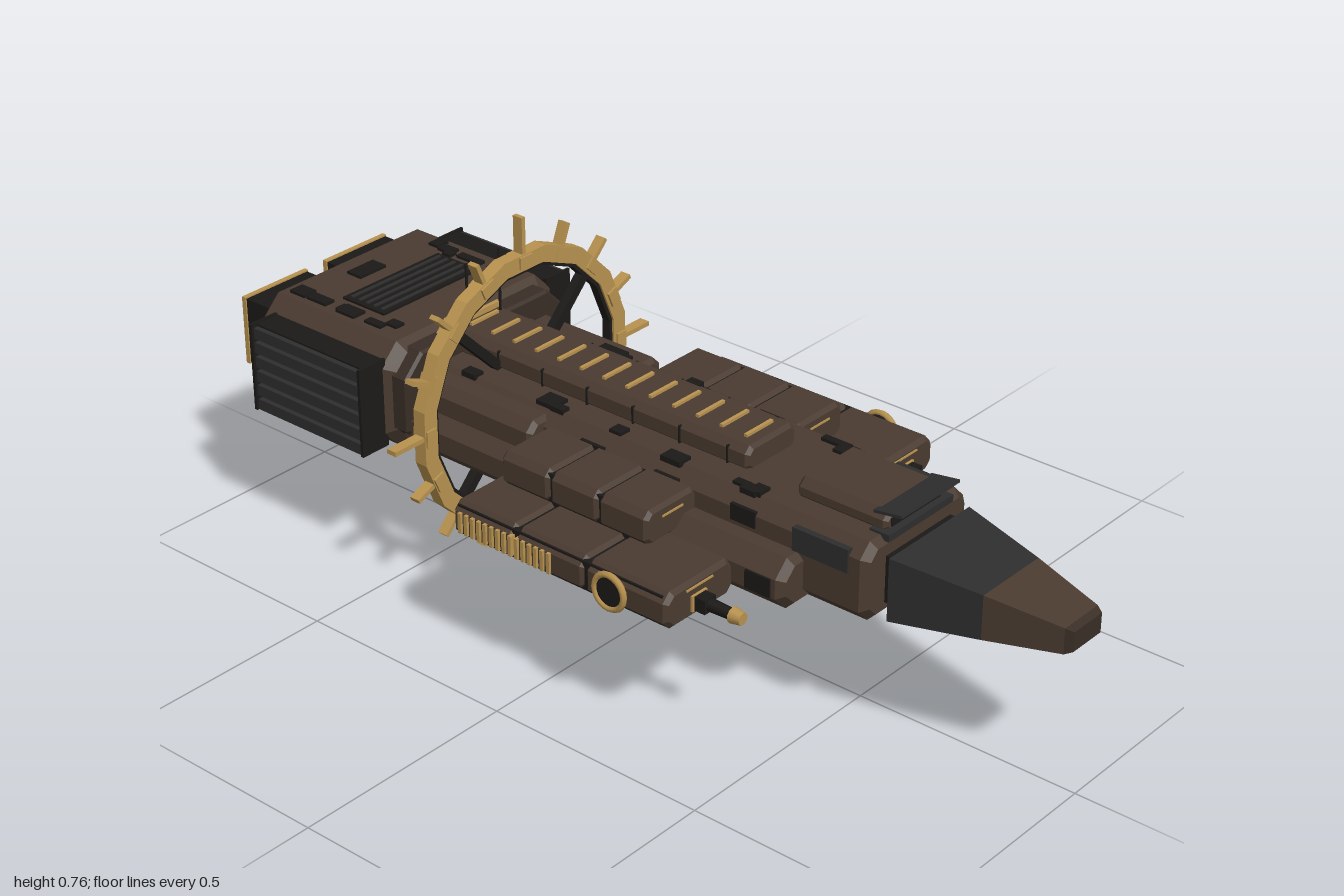
import * as THREE from 'three';

const mat = (color, side = THREE.FrontSide) => new THREE.MeshStandardMaterial({ color, side });
const BROWN = mat(0x4a3b30), SHADE = mat(0x3a2e26), DARK = mat(0x1c1a18), STEEL = mat(0x2e2e2e), GOLD = mat(0xb8924f);

export function createModel() {
  const root = new THREE.Group();
  const add = (name, geo, m, x = 0, y = 0, z = 0, parent = root) => {
    const mesh = new THREE.Mesh(geo, m);
    mesh.name = name;
    mesh.position.set(x, y, z);
    parent.add(mesh);
    return mesh;
  };
  // box given by its limits on each axis
  const box = (name, m, [x0, x1], [y0, y1], [z0, z1], parent = root) =>
    add(name, new THREE.BoxGeometry(x1 - x0, y1 - y0, z1 - z0), m, (x0 + x1) / 2, (y0 + y1) / 2, (z0 + z1) / 2, parent);
  // armoured block: octagonal section along z, ends bevelled by b, corners cut by c
  const block = (name, m, [x0, x1], [y0, y1], [z0, z1], c, b, parent = root) => {
    const w = (x1 - x0) / 2 - b, h = (y1 - y0) / 2 - b;
    const s = new THREE.Shape([[w, -h + c], [w, h - c], [w - c, h], [-w + c, h], [-w, h - c], [-w, -h + c], [-w + c, -h], [w - c, -h]]
      .map(p => new THREE.Vector2(...p)));
    const g = new THREE.ExtrudeGeometry(s, { depth: z1 - z0 - 2 * b, bevelSize: b, bevelThickness: b, bevelSegments: 1 });
    g.translate(0, 0, b);
    return add(name, g, m, (x0 + x1) / 2, (y0 + y1) / 2, z0, parent);
  };
  // tapered box from a back rectangle to a front one, each [halfWidth, bottom, top, z]
  const taper = (name, m, back, front) => {
    const g = new THREE.BoxGeometry(2, 1, 1), p = g.attributes.position;
    for (let i = 0; i < p.count; i++) {
      const [w, lo, hi, z] = p.getZ(i) > 0 ? front : back;
      p.setXYZ(i, p.getX(i) * w, p.getY(i) > 0 ? hi : lo, z);
    }
    g.computeVertexNormals();
    return add(name, g, m);
  };
  let seed = 7;
  const rand = () => (seed = (seed * 16807) % 2147483647) / 2147483647;

  // main hull
  block('upperHull', BROWN, [-0.16, 0.16], [0.28, 0.45], [-0.52, 0.62], 0.02, 0.015);
  block('lowerHull', BROWN, [-0.225, 0.225], [0.275, 0.385], [-0.52, 0.475], 0.025, 0.015);
  block('shoulderDeck', BROWN, [-0.2, 0.2], [0.36, 0.44], [-0.52, -0.18], 0.015, 0.01);
  box('keelPlate', SHADE, [-0.13, 0.13], [0.27, 0.28], [-0.5, 0.42]);

  // nose
  box('neck', DARK, [-0.1, 0.1], [0.31, 0.41], [0.6, 0.66]);
  taper('noseBase', STEEL, [0.125, 0.29, 0.425, 0.645], [0.087, 0.308, 0.403, 0.83]);
  taper('noseTip', BROWN, [0.087, 0.308, 0.403, 0.83], [0.052, 0.325, 0.38, 0.985]);
  taper('noseCap', SHADE, [0.052, 0.325, 0.38, 0.985], [0.044, 0.332, 0.374, 1]);
  for (const s of [-1, 1]) add('noseLamp', new THREE.BoxGeometry(0.008, 0.008, 0.006), GOLD, s * 0.048, 0.355, 0.982);

  // bridge
  block('bridge', BROWN, [-0.09, 0.09], [0.44, 0.49], [0.4, 0.61], 0.012, 0.008);
  box('bridgeWindow', DARK, [-0.075, 0.075], [0.458, 0.475], [0.6, 0.613]);
  const visor = box('visor', STEEL, [-0.09, 0.09], [0.488, 0.494], [0.58, 0.645]);
  visor.rotation.x = -0.15;
  box('foredeckPlate', STEEL, [-0.1, 0.1], [0.44, 0.455], [0.58, 0.625]);

  // spine with gold rungs
  block('spine', BROWN, [-0.075, 0.075], [0.44, 0.497], [-0.52, 0.27], 0.01, 0.008);
  for (let i = 0; i < 13; i++) {
    const z = -0.49 + i * 0.0605;
    box('spineRung', GOLD, [-0.04, 0.04], [0.49, 0.503], [z - 0.004, z + 0.004]);
  }
  for (let i = 0; i < 6; i++) {
    const z = -0.38 + i * 0.12;
    box('spineSeam', DARK, [-0.077, 0.077], [0.445, 0.488], [z - 0.002, z + 0.002]);
  }
  box('spineEndBar', GOLD, [-0.065, 0.065], [0.498, 0.51], [-0.515, -0.505]);

  // stern block
  block('sternCollar', SHADE, [-0.235, 0.235], [0.28, 0.495], [-0.54, -0.485], 0.045, 0.006);
  block('sternBlock', BROWN, [-0.25, 0.25], [0.268, 0.508], [-0.915, -0.51], 0.028, 0.03);
  box('sternHatch', DARK, [-0.14, 0.14], [0.5, 0.513], [-0.76, -0.64]);
  for (let i = 0; i < 5; i++) box('hatchSlat', STEEL, [-0.13, 0.13], [0.51, 0.516], [-0.747 + i * 0.022, -0.74 + i * 0.022]);

  // mirrored assemblies, built on the left and flipped by sign
  for (const s of [1, -1]) {
    const side = new THREE.Group();
    side.name = s > 0 ? 'leftSide' : 'rightSide';
    root.add(side);
    const X = (a, b) => s > 0 ? [a, b] : [-b, -a];

    // main engine
    box('engineHousing', DARK, X(0.03, 0.205), [0.31, 0.46], [-0.99, -0.89], side);
    box('engineRim', GOLD, X(0.027, 0.208), [0.307, 0.463], [-0.998, -0.987], side);
    box('engineGlow', GOLD, X(0.04, 0.195), [0.32, 0.45], [-1, -0.99], side);

    // finned radiator
    box('radiatorCore', DARK, X(0.24, 0.298), [0.29, 0.48], [-0.855, -0.54], side);
    for (let i = 0; i < 6; i++) {
      const y = 0.287 + i * 0.033;
      box('radiatorFin', STEEL, X(0.245, 0.31), [y, y + 0.024], [-0.85, -0.545], side);
    }
    for (const z of [-0.86, -0.545]) box('radiatorFrame', DARK, X(0.24, 0.313), [0.285, 0.483], [z, z + 0.007], side);

    // outer cargo pods
    [[-0.19, -0.03], [-0.026, 0.15], [0.154, 0.355]].forEach(z =>
      block('outerPod', BROWN, X(0.215, 0.412), [0.28, 0.36], z, 0.014, 0.009, side));
    box('outerPodCore', DARK, X(0.2, 0.405), [0.29, 0.352], [-0.18, 0.34], side);
    // inner upper pods
    [[-0.165, -0.04], [-0.036, 0.085], [0.089, 0.21]].forEach(z =>
      block('upperPod', BROWN, X(0.15, 0.3), [0.355, 0.43], z, 0.01, 0.008, side));
    box('upperPodCore', DARK, X(0.15, 0.292), [0.35, 0.422], [-0.155, 0.2], side);
    box('upperPodTrim', GOLD, X(0.195, 0.255), [0.405, 0.409], [0.205, 0.2125], side);
    box('outerPodTrim', GOLD, X(0.28, 0.355), [0.344, 0.348], [0.345, 0.3575], side);

    // gold ribs along the pod flank
    for (let i = 0; i < 15; i++) {
      const z = -0.17 + i * 0.0165;
      box('flankRib', GOLD, X(0.405, 0.418), [0.298, 0.342], [z, z + 0.008], side);
    }

    // round side port
    const ring = add('portRing', new THREE.TorusGeometry(0.036, 0.007, 6, 20), GOLD, s * 0.417, 0.32, 0.22, side);
    ring.rotation.y = Math.PI / 2;
    const port = add('portGlass', new THREE.CylinderGeometry(0.034, 0.034, 0.014, 20), DARK, s * 0.412, 0.32, 0.22, side);
    port.rotation.z = Math.PI / 2;

    // forward gun
    box('gunFrame', GOLD, X(0.3, 0.342), [0.296, 0.33], [0.35, 0.36], side);
    box('gunMount', DARK, X(0.305, 0.337), [0.298, 0.328], [0.35, 0.385], side);
    const barrel = add('gunBarrel', new THREE.CylinderGeometry(0.011, 0.014, 0.08, 10), DARK, s * 0.32, 0.313, 0.41, side);
    barrel.rotation.x = Math.PI / 2;
    const muzzle = add('gunMuzzle', new THREE.CylinderGeometry(0.013, 0.017, 0.025, 10), GOLD, s * 0.32, 0.313, 0.45, side);
    muzzle.rotation.x = Math.PI / 2;

    // bow cheeks and windows
    box('bowWindow', STEEL, X(0.15, 0.164), [0.385, 0.435], [0.45, 0.58], side);
    box('bowVent', DARK, X(0.22, 0.229), [0.31, 0.35], [0.39, 0.45], side);
    for (let i = 0; i < 5; i++) {
      const z = -0.46 + i * 0.19;
      box('hullVent', DARK, X(0.155, 0.163), [0.395, 0.43], [z, z + 0.06], side);
    }
    // antenna
    add('antenna', new THREE.CylinderGeometry(0.003, 0.003, 0.14, 6), DARK, s * 0.048, 0.57, -0.49, side);
  }

  // belly turret
  add('turretBase', new THREE.CylinderGeometry(0.025, 0.025, 0.025, 12), DARK, 0, 0.263, 0.24);
  box('turretFrame', GOLD, [-0.022, 0.022], [0.23, 0.262], [0.205, 0.235]);
  box('turretBody', DARK, [-0.018, 0.018], [0.235, 0.268], [0.21, 0.28]);
  add('turretBarrel', new THREE.CylinderGeometry(0.013, 0.013, 0.06, 10), DARK, 0, 0.248, 0.295).rotation.x = Math.PI / 2;
  add('turretMuzzle', new THREE.CylinderGeometry(0.016, 0.016, 0.012, 10), GOLD, 0, 0.248, 0.32).rotation.x = Math.PI / 2;

  // sixteen-sided ring with flat top, spikes and struts
  const ringGroup = new THREE.Group();
  ringGroup.name = 'ring';
  ringGroup.position.set(0, 0.38, -0.385);
  root.add(ringGroup);
  const polygon = (r) => Array.from({ length: 16 }, (_, i) => {
    const a = (i + 0.5) * Math.PI / 8;
    return new THREE.Vector2(r * Math.cos(a), r * Math.sin(a));
  });
  const hoop = (name, m, ro, ri, depth) => {
    const s = new THREE.Shape(polygon(ro));
    s.holes.push(new THREE.Path(polygon(ri)));
    const g = new THREE.ExtrudeGeometry(s, { depth, bevelEnabled: false });
    add(name, g, m, 0, 0, -depth / 2, ringGroup);
  };
  hoop('ringHoop', GOLD, 0.306, 0.27, 0.03);
  hoop('ringLiner', DARK, 0.272, 0.262, 0.02);
  for (let i = 0; i < 16; i++) {
    const arm = new THREE.Group();
    arm.name = 'ringArm';
    arm.rotation.z = i * Math.PI / 8;
    ringGroup.add(arm);
    const long = i % 4 === 0;
    box('spike', GOLD, [0.295, long ? 0.38 : 0.348], [-0.005, 0.005], [-0.012, 0.012], arm);
    box('ringClamp', GOLD, [0.272, 0.298], [-0.018, 0.018], [-0.02, 0.02], arm);
    if (i % 4 === 2) box('strut', DARK, [0.1, 0.268], [-0.01, 0.01], [-0.01, 0.01], arm);
  }

  // small surface fittings on stern, deck and belly
  const scatter = (name, n, xr, zr, y, m) => {
    for (let i = 0; i < n; i++) {
      const x = xr[0] + rand() * (xr[1] - xr[0]), z = zr[0] + rand() * (zr[1] - zr[0]);
      const w = 0.008 + rand() * 0.014, l = 0.01 + rand() * 0.025;
      box(name, m, [x - w, x + w], [y - 0.006, y + 0.006], [z - l, z + l]);
    }
  };
  for (const s of [-1, 1]) {
    scatter('sternFitting', 6, [s * 0.155, s * 0.18], [-0.86, -0.57], 0.508, DARK);
    scatter('deckFitting', 8, [s * 0.1, s * 0.13], [-0.45, 0.4], 0.451, DARK);
    scatter('bellyFitting', 5, [s * 0.05, s * 0.18], [-0.4, 0.4], 0.272, DARK);
  }
  box('sternVent', DARK, [-0.05, 0.025], [0.5, 0.514], [-0.84, -0.8]);
  return root;
}
